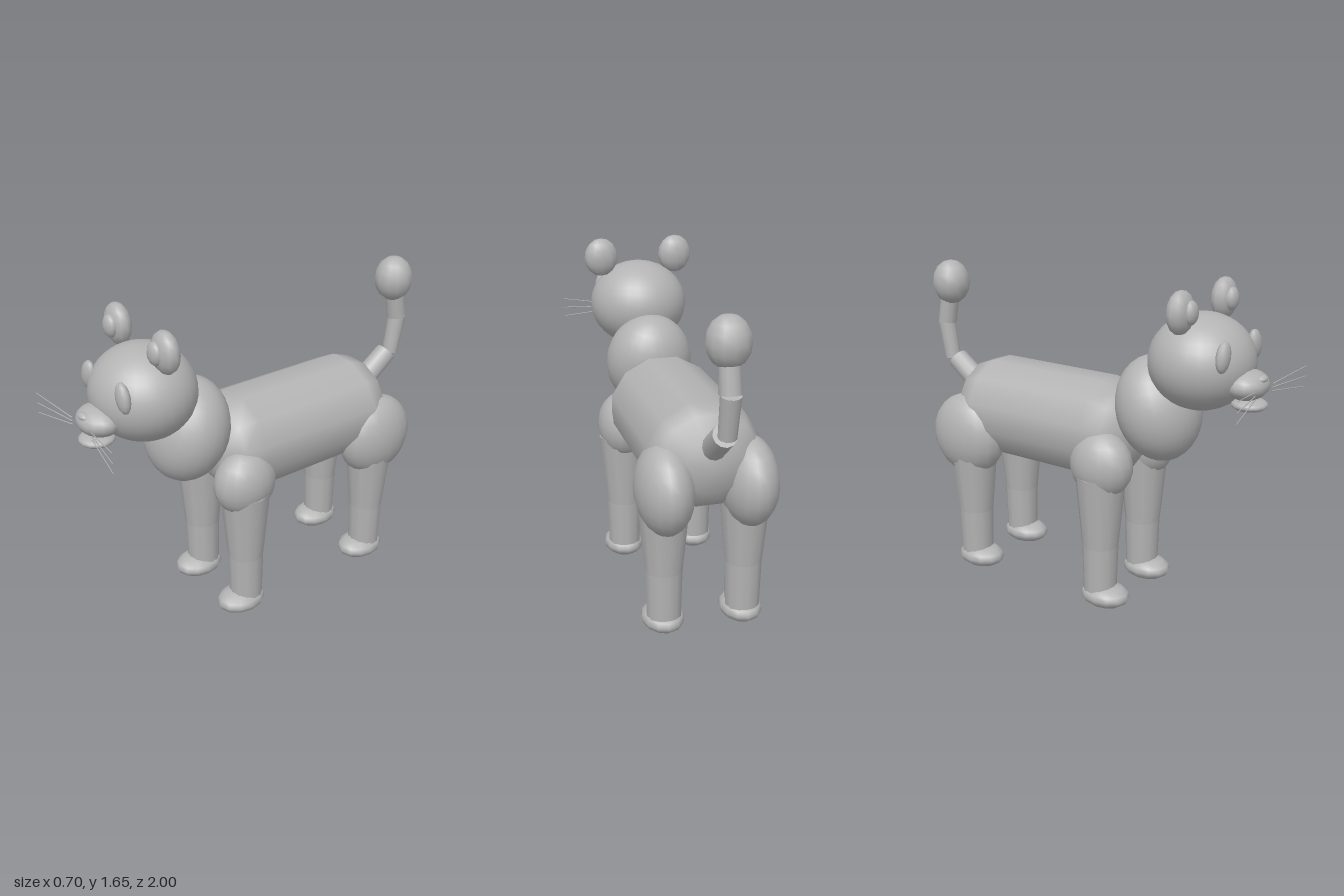
import * as THREE from 'three';

export function createModel() {
  const grey = new THREE.MeshStandardMaterial({ color: 0xb3b3b3 });
  grey.name = 'grey';
  const model = new THREE.Group();
  model.name = 'bigCat';

  function add(name, geometry, parent = model) {
    const mesh = new THREE.Mesh(geometry, grey);
    mesh.name = name;
    parent.add(mesh);
    return mesh;
  }

  // Ellipsoid with its centre and half sizes
  function blob(name, centre, half, sides = 16, parent = model) {
    const geometry = new THREE.SphereGeometry(1, sides, Math.ceil(sides * 0.65));
    geometry.scale(...half);
    const mesh = add(name, geometry, parent);
    mesh.position.set(...centre);
    return mesh;
  }

  // Tapered rod between two points
  function rod(name, from, to, r0, r1, sides = 12, parent = model) {
    const a = new THREE.Vector3(...from);
    const b = new THREE.Vector3(...to);
    const mesh = add(name, new THREE.CylinderGeometry(r1, r0, a.distanceTo(b), sides), parent);
    mesh.position.copy(a).add(b).multiplyScalar(0.5);
    mesh.quaternion.setFromUnitVectors(new THREE.Vector3(0, 1, 0), b.sub(a).normalize());
    return mesh;
  }

  // Body: flattened capsule lying along z
  const trunk = new THREE.CapsuleGeometry(0.2, 0.69, 3, 12);
  trunk.rotateY(Math.PI / 12);
  trunk.rotateX(Math.PI / 2);
  trunk.scale(1.39, 1.29, 1);
  add('body', trunk).position.set(0, 0.877, -0.22);

  // Neck and head
  blob('neck', [0, 1.03, 0.41], [0.227, 0.26, 0.2], 24).rotation.x = -0.3;
  blob('head', [0, 1.295, 0.635], [0.257, 0.227, 0.25], 28);
  blob('muzzle', [0, 1.22, 0.868], [0.12, 0.07, 0.1]);
  blob('jaw', [0, 1.13, 0.885], [0.085, 0.03, 0.085], 14);
  blob('nose', [0, 1.257, 0.94], [0.035, 0.018, 0.025], 12);

  for (const [side, s] of [['left', 1], ['right', -1]]) {
    // Ears and eyes
    blob(side + 'Ear', [s * 0.202, 1.553, 0.63], [0.09, 0.1, 0.056], 12);
    blob(side + 'InnerEar', [s * 0.191, 1.555, 0.675], [0.047, 0.056, 0.032], 12);
    blob(side + 'Eye', [s * 0.152, 1.37, 0.822], [0.046, 0.073, 0.03], 12).rotation.z = s * 0.25;

    // Whiskers
    for (const k of [-1, 0, 1]) {
      rod(side + 'Whisker', [s * 0.09, 1.2 + k * 0.017, 0.953],
        [s * 0.348, 1.2 + k * 0.05, 0.998], 0.003, 0.002, 6);
    }

    // Legs
    for (const [end, z, footZ] of [['Front', 0.207, 0.238], ['Back', -0.603, -0.577]]) {
      const leg = new THREE.Group();
      leg.name = side + end + 'Leg';
      model.add(leg);
      const x = s * 0.195;
      if (end === 'Front') blob('shoulder', [x, 0.755, 0.21], [0.127, 0.17, 0.166], 16, leg);
      else blob('thigh', [s * 0.2, 0.75, -0.628], [0.135, 0.217, 0.215], 18, leg);
      rod('upperLeg', [x, 0.33, z], [x, 0.7, z], 0.09, 0.125, 12, leg);
      rod('lowerLeg', [x, 0.08, z], [x, 0.33, z], 0.083, 0.09, 12, leg);
      blob('foot', [x, 0.065, footZ], [0.103, 0.06, 0.131], 12, leg);
    }
  }

  // Tail with a round tip
  rod('tailBase', [0, 0.94, -0.69], [0, 1.08, -0.875], 0.06, 0.056);
  rod('tailMiddle', [0, 1.08, -0.905], [0, 1.28, -0.941], 0.042, 0.047);
  rod('tailUpper', [0, 1.28, -0.935], [0, 1.45, -0.905], 0.05, 0.048);
  blob('tailTip', [0, 1.495, -0.897], [0.1, 0.117, 0.1], 12);

  return model;
}
